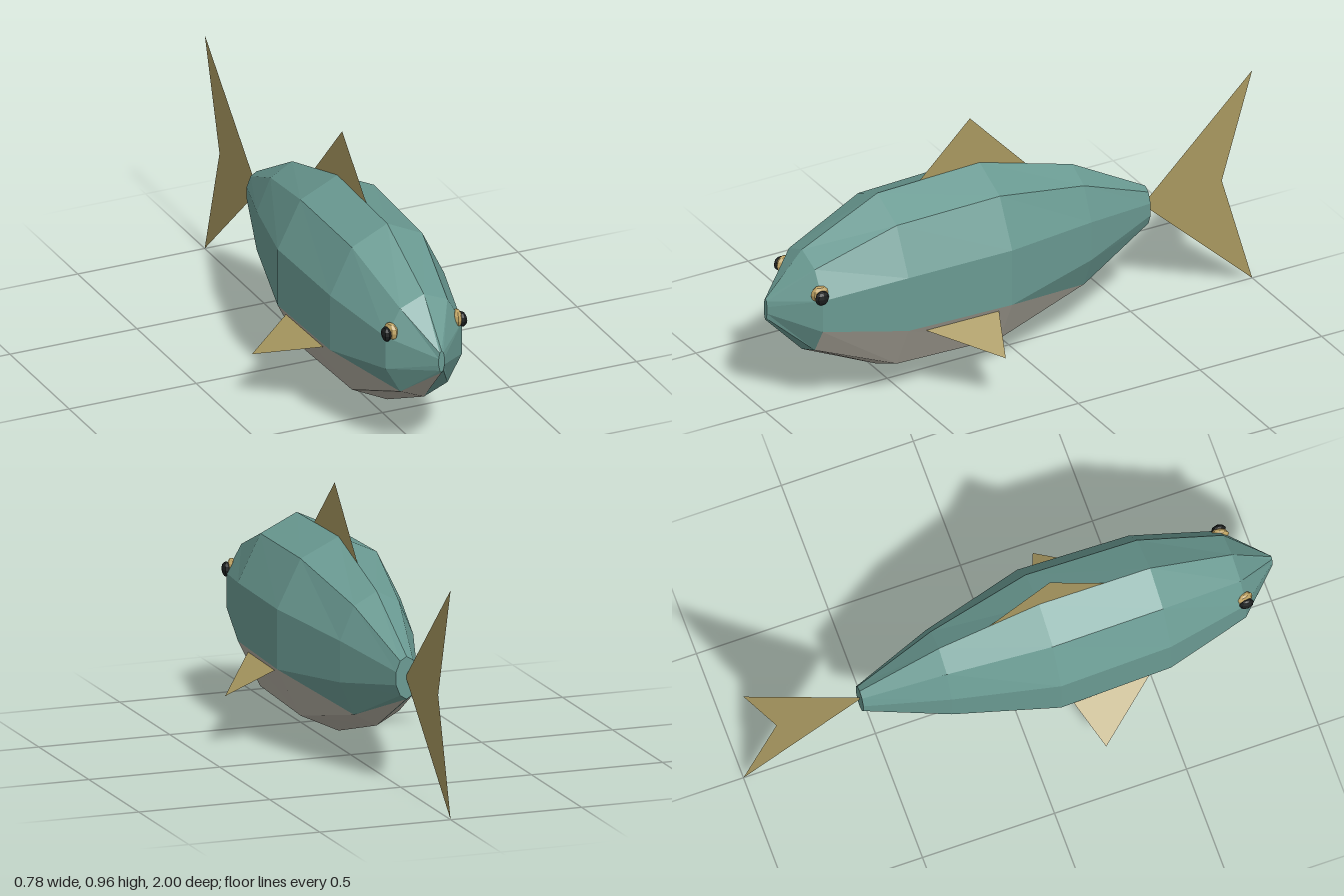
import * as THREE from 'three';

const material = (color, side = THREE.FrontSide) =>
  new THREE.MeshStandardMaterial({ color, flatShading: true, side });
const backMat = material(0x6a9a92);
const bellyMat = material(0xb0aca0);
const finMat = material(0xa89860, THREE.DoubleSide);
const eyeMat = material(0xc0a464);
const pupilMat = material(0x1c1f1f);

const SIDES = 10;
const MID_Y = 0.4175;
const BELLY_LINE = 0.2825;

// Body cross-sections from nose to tail: [z, x radius, y radius]
const SECTIONS = [
  [1.0, 0.012, 0.043],
  [0.85, 0.158, 0.2025],
  [0.54, 0.236, 0.3475],
  [0.12, 0.247, 0.3575],
  [-0.26, 0.147, 0.2475],
  [-0.56, 0.042, 0.0785],
];

function meshFrom(name, triangles, mat) {
  const geometry = new THREE.BufferGeometry().setFromPoints(triangles.flat());
  geometry.computeVertexNormals();
  const mesh = new THREE.Mesh(geometry, mat);
  mesh.name = name;
  return mesh;
}

// Faceted body, split into back and belly by the height of each facet
function createBody() {
  const rings = SECTIONS.map(([z, rx, ry]) =>
    Array.from({ length: SIDES }, (_, j) => {
      const a = (j / SIDES) * Math.PI * 2;
      return new THREE.Vector3(Math.sin(a) * rx, MID_Y + Math.cos(a) * ry, z);
    }));
  const back = [];
  const belly = [];
  const add = (a, b, c) =>
    ((a.y + b.y + c.y) / 3 < BELLY_LINE ? belly : back).push([a, b, c]);

  for (let i = 0; i < rings.length - 1; i++) {
    const front = rings[i];
    const rear = rings[i + 1];
    for (let j = 0; j < SIDES; j++) {
      const k = (j + 1) % SIDES;
      add(front[j], rear[k], rear[j]);
      add(front[j], front[k], rear[k]);
    }
  }
  // Nose and tail caps
  const nose = rings[0];
  const tail = rings[rings.length - 1];
  for (let j = 1; j < SIDES - 1; j++) {
    add(nose[0], nose[j + 1], nose[j]);
    add(tail[0], tail[j], tail[j + 1]);
  }
  const body = new THREE.Group();
  body.name = 'body';
  body.add(meshFrom('back', back, backMat), meshFrom('belly', belly, bellyMat));
  return body;
}

// Flat fin in the middle plane from [z, y] outline points
function createMiddleFin(name, outline) {
  const shape = new THREE.Shape(outline.map(([z, y]) => new THREE.Vector2(-z, y)));
  const geometry = new THREE.ShapeGeometry(shape).rotateY(Math.PI / 2);
  const fin = new THREE.Mesh(geometry, finMat);
  fin.name = name;
  return fin;
}

function createSideFin(name, side) {
  return meshFrom(name, [[
    new THREE.Vector3(side * 0.21, 0.29, 0.47),
    new THREE.Vector3(side * 0.215, 0.297, 0.165),
    new THREE.Vector3(side * 0.39, 0.195, 0.235),
  ]], finMat);
}

// Flattened eyeball with a dark pupil on its outer face
function createEye(name, side) {
  const ball = new THREE.Mesh(new THREE.SphereGeometry(0.034, 8, 6), eyeMat);
  ball.name = 'eyeball';
  ball.scale.x = 0.55;
  ball.rotation.y = -side * 0.25;
  ball.position.set(side * 0.13, 0.499, 0.85);
  const pupil = new THREE.Mesh(new THREE.SphereGeometry(0.028, 8, 6), pupilMat);
  pupil.name = 'pupil';
  pupil.scale.x = 0.6;
  pupil.position.set(side * 0.149, 0.493, 0.852);
  const eye = new THREE.Group();
  eye.name = name;
  eye.add(ball, pupil);
  return eye;
}

export function createModel() {
  const fish = new THREE.Group();
  fish.name = 'fish';
  fish.add(
    createBody(),
    createMiddleFin('dorsalFin', [[0.37, 0.765], [0.16, 0.965], [-0.07, 0.72]]),
    createMiddleFin('tailFin', [[-0.55, 0.42], [-1, 0.845], [-0.875, 0.43], [-1, 0]]),
  );
  for (const [label, side] of [['left', 1], ['right', -1]]) {
    fish.add(createSideFin(`${label}SideFin`, side), createEye(`${label}Eye`, side));
  }
  return fish;
}
